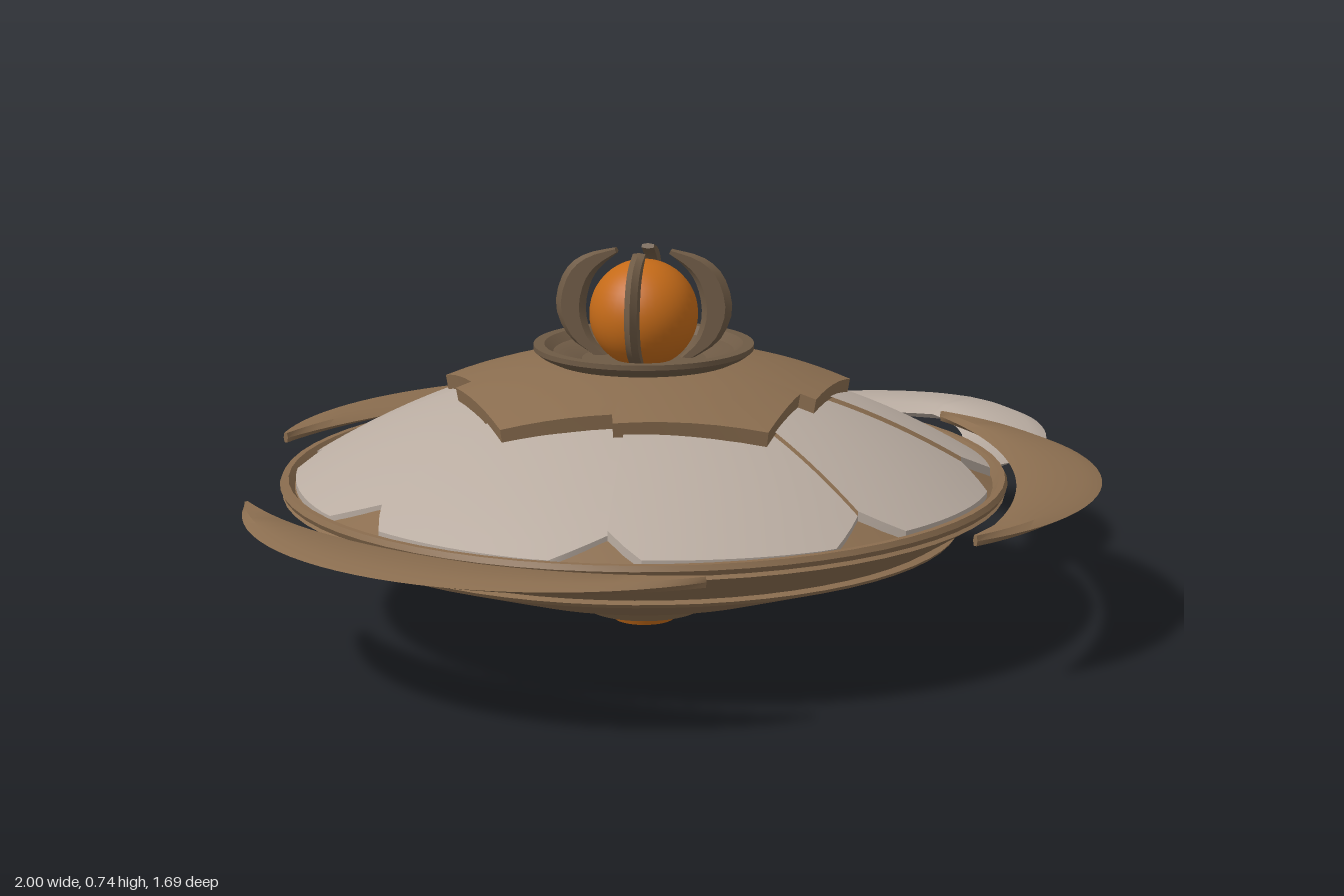
import * as THREE from 'three';
import { toCreasedNormals } from 'three/addons/utils/BufferGeometryUtils.js';

const mat = (name, color) => {
  const m = new THREE.MeshStandardMaterial({ color, side: THREE.DoubleSide });
  m.name = name;
  return m;
};

// Surface through rows of points; optionally closed around each row and capped at both ends.
function surface(rows, closed = false, crease = 0.6) {
  const n = rows[0].length, pos = rows.flat().flatMap(p => [p.x, p.y, p.z]), idx = [];
  for (let i = 0; i < rows.length - 1; i++) {
    for (let j = 0; j < (closed ? n : n - 1); j++) {
      const k = (j + 1) % n, a = i * n + j, b = i * n + k, c = a + n, d = b + n;
      idx.push(a, c, b, b, c, d);
    }
  }
  if (closed) {
    const last = (rows.length - 1) * n;
    for (let j = 1; j < n - 1; j++) idx.push(0, j, j + 1, last, last + j + 1, last + j);
  }
  const g = new THREE.BufferGeometry();
  g.setAttribute('position', new THREE.Float32BufferAttribute(pos, 3));
  g.setIndex(idx);
  return toCreasedNormals(g, crease);
}

// Blade between an inner and an outer edge, thick in the middle and thin at the rims.
function blade(inner, outer, half, place) {
  const section = [[0, 0], [0.2, 1], [0.8, 1], [1, 0], [0.8, -1], [0.2, -1]];
  const rows = inner.map((p, i) => section.map(([t, s]) =>
    place(p[0] + (outer[i][0] - p[0]) * t, p[1] + (outer[i][1] - p[1]) * t, s * half)));
  return surface(rows, true);
}

const smooth = (pts, n) => new THREE.SplineCurve(pts.map(p => new THREE.Vector2(...p)))
  .getPoints(n).map(p => [p.x, p.y]);

const lathe = (pts, seg = 64) => toCreasedNormals(
  new THREE.LatheGeometry(pts.map(p => new THREE.Vector2(...p)), seg), 0.3);

const polar = (r, a, y) => new THREE.Vector3(r * Math.cos(a), y, -r * Math.sin(a));
const domeY = r => 0.505 - 0.46 * r * r;
const rad = THREE.MathUtils.degToRad;

export function createModel() {
  const brown = mat('bronze brown', 0x8a6d4f);
  const dark = mat('dark bronze', 0x6e5a45);
  const pale = mat('pale stone', 0xb9aca1);
  const orange = mat('amber orange', 0xc46a18);

  const root = new THREE.Group();
  root.name = 'saucer';
  const body = new THREE.Group();
  body.name = 'body';
  body.position.set(-0.115, 0, 0.01);
  root.add(body);
  const add = (parent, name, geo, material) => {
    const m = new THREE.Mesh(geo, material);
    m.name = name;
    parent.add(m);
    return m;
  };

  // Lower hull, rim and dome
  add(body, 'lowerHull', lathe([[0, 0.085], [0.2, 0.086], [0.35, 0.105], [0.61, 0.195], [0.615, 0.202],
    [0.6, 0.206], [0.69, 0.264], [0.7, 0.27], [0.69, 0.277], [0.67, 0.28]]), brown);
  add(body, 'rimRing', lathe([[0.675, 0.278], [0.7, 0.278], [0.705, 0.288], [0.7, 0.298], [0.688, 0.298], [0.675, 0.28]]), brown);
  const domePts = [];
  for (let i = 0; i <= 10; i++) {
    const r = 0.685 - i * 0.055;
    domePts.push([r, domeY(r) - 0.012]);
  }
  add(body, 'dome', lathe(domePts), brown);

  // Eight pale shell petals with notched lower corners, overlapping like a pinwheel
  for (let k = 0; k < 8; k++) {
    const rows = [];
    for (let i = 0; i <= 16; i++) {
      const u = i / 16, a = rad(35 + 45 * (k + u)), lift = 0.009 * (1 - u) - 0.003;
      const edge = 0.674 - 0.06 * Math.max(0, 1 - Math.min(u / 0.12, (1 - u) / 0.19));
      const row = [];
      for (let j = 0; j <= 10; j++) {
        const r = 0.3 + (edge - 0.3) * j / 10;
        row.push(polar(r, a, domeY(r) + lift));
      }
      row.push(polar(edge, a, domeY(edge) - 0.014));
      rows.push(row);
    }
    add(body, 'domePetal', surface(rows), pale);
  }

  // Five overlapping crown plates
  for (let k = 0; k < 5; k++) {
    const a0 = 110 + 72 * k, rows = [];
    const corners = [[0.42, 0], [0.365, -42], [0.335, -43], [0.42, -72]]
      .map(([r, d]) => polar(r, rad(a0 + d), 0));
    [[0, 1, 6], [1, 2, 1], [2, 3, 5]].forEach(([s, e, n]) => {
      for (let i = s === 0 ? 0 : 1; i <= n; i++) {
        const p = corners[s].clone().lerp(corners[e], i / n);
        const len = Math.hypot(p.x, p.z), a = Math.atan2(-p.z, p.x), row = [];
        for (let j = 0; j <= 5; j++) {
          const r = 0.14 + (len - 0.14) * j / 5;
          row.push(polar(r, a, domeY(r) + 0.03));
        }
        row.push(polar(len - 0.005, a, domeY(len) + 0.002));
        rows.push(row);
      }
    });
    add(body, 'crownPlate', surface(rows), brown);
  }

  // Collar bowl, glowing orb and its four claws
  add(body, 'collar', lathe([[0.15, 0.5], [0.165, 0.513], [0.2, 0.53], [0.213, 0.54], [0.213, 0.55], [0.192, 0.55],
    [0.175, 0.535], [0.15, 0.532], [0.12, 0.52], [0, 0.52]], 48), dark);
  add(body, 'orb', new THREE.SphereGeometry(0.105, 40, 24), orange).position.y = 0.608;
  const clawOut = smooth([[0.1, 0.525], [0.148, 0.56], [0.172, 0.62], [0.155, 0.685], [0.115, 0.72], [0.055, 0.735]], 14);
  const clawIn = smooth([[0.07, 0.525], [0.1, 0.56], [0.113, 0.61], [0.105, 0.66], [0.085, 0.695], [0.05, 0.725]], 14);
  for (let k = 0; k < 4; k++) {
    const claw = add(body, 'claw', blade(clawIn, clawOut, 0.012, (a, b, h) => new THREE.Vector3(a, b, h)), dark);
    claw.rotation.y = rad(32 + 90 * k);
  }

  // Three crescent fins around the rim
  for (const mid of [69.5, 189.5, 309.5]) {
    const inner = [], outer = [];
    for (let i = 0; i <= 28; i++) {
      const t = i / 14 - 1, a = rad(mid + 39.3 * t), w = 1 - t * t;
      const ri = 0.782 - 0.062 * w, ro = 0.792 + 0.095 * w;
      inner.push([ri * Math.cos(a), -ri * Math.sin(a)]);
      outer.push([ro * Math.cos(a), -ro * Math.sin(a)]);
    }
    add(body, 'crescentFin', blade(inner, outer, 0.01, (x, z, h) => new THREE.Vector3(x, 0.292 + h, z)), brown);
  }

  // Mirrored pair of pale tail lobes
  const lobeOut = smooth([[0.45, 0.31], [0.54, 0.37], [0.66, 0.37], [0.8, 0.315], [0.92, 0.21], [0.985, 0.095], [1, 0]], 24);
  const lobeIn = smooth([[0.45, 0.24], [0.51, 0.225], [0.59, 0.215], [0.68, 0.185], [0.75, 0.125], [0.8, 0.06], [0.83, 0]], 24);
  for (const s of [-1, 1]) {
    add(root, 'tailLobe', blade(lobeIn, lobeOut, 0.016, (x, z, h) => new THREE.Vector3(x, 0.243 + h, 0.015 + s * z)), pale);
  }

  // Rod lying along x, used by the tail spike and the belly nozzle
  const rod = (name, x0, x1, r0, r1, y, m) => {
    const g = new THREE.CylinderGeometry(r1, r0, x1 - x0, 16).rotateZ(-Math.PI / 2);
    add(root, name, g, m).position.set((x0 + x1) / 2, y, 0.015);
  };
  rod('tailSpikeBase', 0.44, 0.63, 0.026, 0.017, 0.238, brown);
  rod('tailSpikeTip', 0.63, 0.72, 0.014, 0.009, 0.238, pale);

  // Belly pod with amber lens and nozzle
  add(body, 'bellyPod', lathe([[0, 0.012], [0.07, 0.012], [0.115, 0.024], [0.14, 0.045], [0.155, 0.07], [0.165, 0.09]], 48), brown);
  add(body, 'bellyLens', new THREE.CylinderGeometry(0.068, 0.06, 0.016, 40), orange).position.y = 0.008;
  rod('bellyNozzle', -0.02, 0.09, 0.014, 0.014, 0.034, brown);
  rod('nozzleTip', 0.08, 0.14, 0.014, 0.019, 0.028, brown);

  return root;
}
